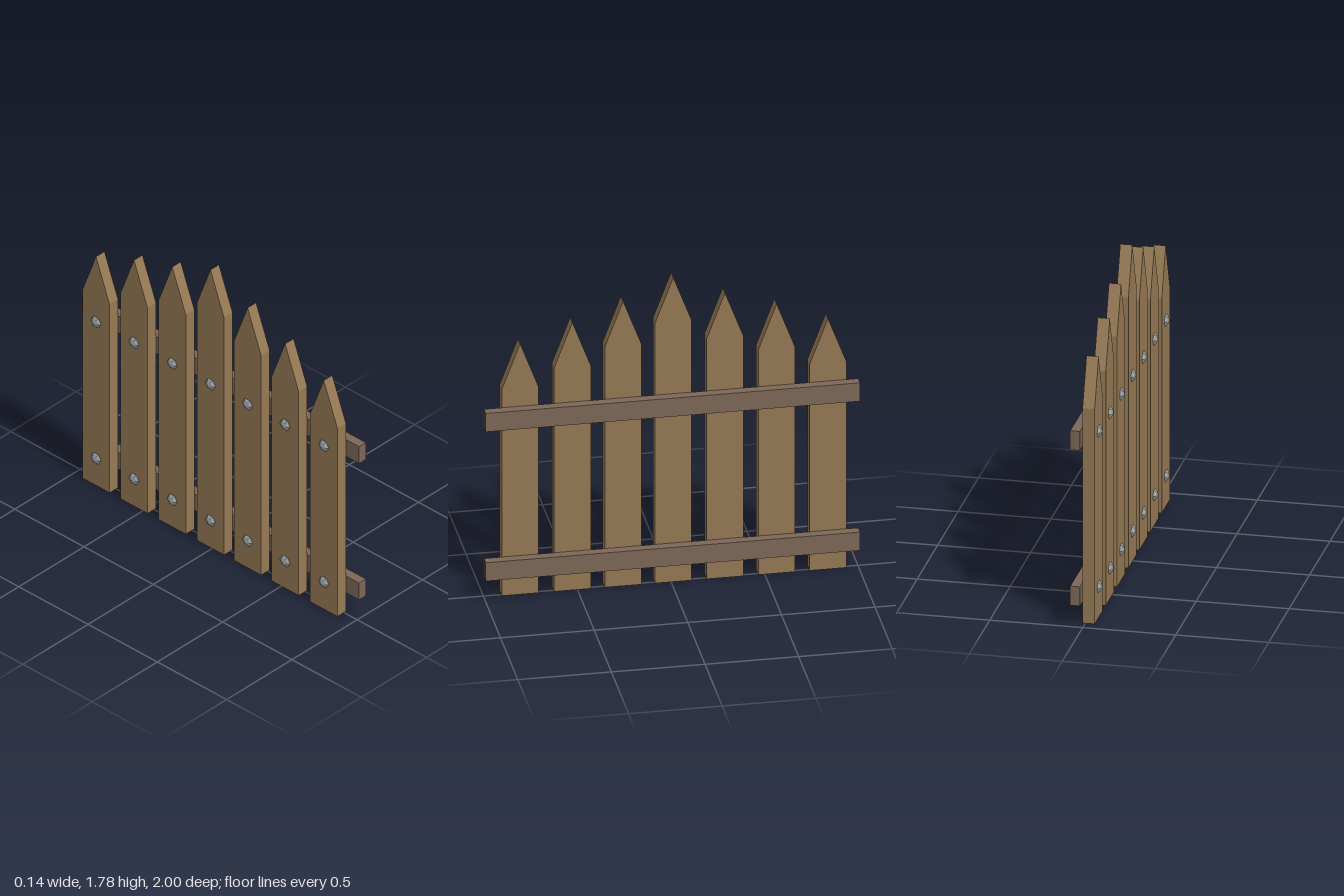
import * as THREE from 'three';

const material = (color) => new THREE.MeshStandardMaterial({ color, flatShading: true });

export function createModel() {
  const fence = new THREE.Group();
  fence.name = 'picketFence';
  const picketWood = material(0x957953);
  const railWood = material(0x7d6757);
  const steel = material(0x8f989c);

  const halfWidth = 0.098, pointHeight = 0.26;
  const backX = -0.05, faceX = 0.015, railX = 0.067;
  const railHeights = [0.174, 1.05];

  // Centre along z and tip height of each picket
  const pickets = [
    [0.806, 1.47], [0.527, 1.57], [0.256, 1.67], [-0.012, 1.785],
    [-0.288, 1.67], [-0.564, 1.58], [-0.838, 1.47],
  ];

  // Low faceted bolt head, pointing to -x
  const boltGeometry = new THREE.LatheGeometry(
    [[0.036, 0], [0.024, 0.012], [0, 0.021]].map(([r, h]) => new THREE.Vector2(r, h)), 6);
  boltGeometry.rotateZ(Math.PI / 2);

  for (const [z, top] of pickets) {
    // Pointed board, extruded through its thickness and turned to run along z
    const shape = new THREE.Shape([
      new THREE.Vector2(-halfWidth, 0),
      new THREE.Vector2(halfWidth, 0),
      new THREE.Vector2(halfWidth, top - pointHeight),
      new THREE.Vector2(0, top),
      new THREE.Vector2(-halfWidth, top - pointHeight),
    ]);
    const board = new THREE.ExtrudeGeometry(shape, { depth: faceX - backX, bevelEnabled: false });
    board.rotateY(Math.PI / 2);
    const picket = new THREE.Mesh(board, picketWood);
    picket.name = 'picket';
    picket.position.set(backX, 0, z);
    fence.add(picket);

    // One bolt at each rail
    for (const y of railHeights) {
      const bolt = new THREE.Mesh(boltGeometry, steel);
      bolt.name = 'bolt';
      bolt.position.set(backX, y, z);
      fence.add(bolt);
    }
  }

  // Two rails across the full length
  for (const y of railHeights) {
    const rail = new THREE.Mesh(new THREE.BoxGeometry(railX - faceX, 0.108, 2), railWood);
    rail.name = 'rail';
    rail.position.set((faceX + railX) / 2, y, 0);
    fence.add(rail);
  }
  return fence;
}
